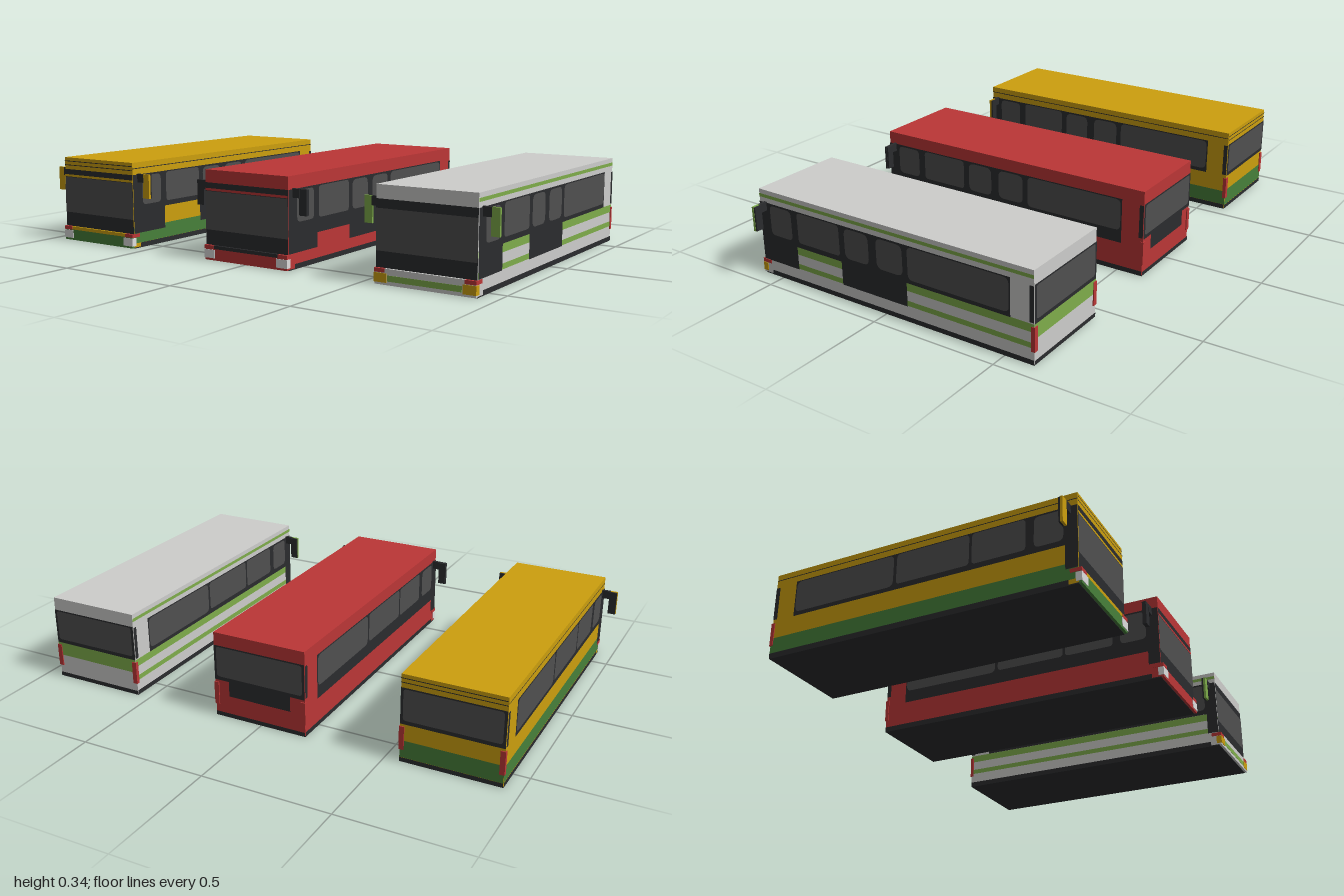
import * as THREE from 'three';

const material = (name, color) => new THREE.MeshStandardMaterial({ name, color });

export function createModel() {
  const M = {
    yellow: material('golden yellow', 0xcc9f0e),
    red: material('red', 0xbb3636),
    white: material('off white', 0xcdcdcb),
    green: material('light green', 0x7fad4b),
    darkGreen: material('dark green', 0x47803a),
    black: material('black trim', 0x2b2c2e),
    glass: material('tinted glass', 0x4f4f4f),
    lamp: material('lamp white', 0xdedede),
  };
  const HW = 0.19, FRONT = 0.595, BACK = -0.605, TOP = 0.34;

  const box = (g, name, mat, x0, x1, y0, y1, z0, z1) => {
    const m = new THREE.Mesh(new THREE.BoxGeometry(Math.abs(x1 - x0), y1 - y0, z1 - z0), mat);
    m.position.set((x0 + x1) / 2, (y0 + y1) / 2, (z0 + z1) / 2);
    m.name = name;
    g.add(m);
  };

  // flat panel on a body face; u runs along z on the sides and x on the ends
  const plate = (g, face, name, mat, u0, u1, y0, y1, layer = 1, r = 0) => {
    const a = Math.abs(u1 - u0) / 2, b = (y1 - y0) / 2, s = new THREE.Shape();
    s.moveTo(-a + r, -b);
    s.lineTo(a - r, -b);
    if (r) s.quadraticCurveTo(a, -b, a, -b + r);
    s.lineTo(a, b - r);
    if (r) s.quadraticCurveTo(a, b, a - r, b);
    s.lineTo(-a + r, b);
    if (r) s.quadraticCurveTo(-a, b, -a, b - r);
    s.lineTo(-a, -b + r);
    if (r) s.quadraticCurveTo(-a, -b, -a + r, -b);
    const m = new THREE.Mesh(new THREE.ShapeGeometry(s, 4), mat);
    const u = (u0 + u1) / 2, y = (y0 + y1) / 2, d = layer * 0.001;
    if (face === 'left') { m.rotation.y = Math.PI / 2; m.position.set(HW + d, y, u); }
    if (face === 'right') { m.rotation.y = -Math.PI / 2; m.position.set(-HW - d, y, u); }
    if (face === 'front') m.position.set(u, y, FRONT + d);
    if (face === 'back') { m.rotation.y = Math.PI; m.position.set(u, y, BACK - d); }
    m.name = name;
    g.add(m);
  };

  function createBus(o) {
    const g = new THREE.Group();
    g.name = o.name;
    box(g, 'body', o.body, -HW, HW, 0.004, TOP, BACK, FRONT);
    box(g, 'underside', M.black, -HW, HW, 0, 0.004, BACK, FRONT);
    box(g, 'frontBumper', o.bumper, -HW, HW, 0.002, 0.045, FRONT, 0.605);
    box(g, 'bumperTop', o.bumperTop, -HW + 0.04, HW - 0.04, 0.045, 0.058, FRONT, 0.605);

    // sides
    for (const f of ['left', 'right']) {
      for (const [mat, y0, y1] of o.stripes) plate(g, f, 'sideStripe', mat, BACK, FRONT, y0, y1, 1);
      plate(g, f, 'skirt', M.black, BACK, 0.56, 0.002, 0.02, 2);
      plate(g, f, 'windowBand', M.black, -0.515, FRONT, o.bandLow, 0.292, 2);
      plate(g, f, 'rearCornerTrim', M.black, BACK, -0.588, 0.155, 0.285, 2);
      plate(g, f, 'rearWindow', M.glass, -0.51, -0.097, 0.165, 0.288, 3, 0.022);
      plate(g, f, 'middleWindow', M.glass, 0.21, 0.41, 0.17, 0.288, 3, 0.015);
      plate(g, f, 'frontWindow', M.glass, 0.44, 0.545, 0.17, 0.285, 3, 0.02);
      if (f === 'left') {
        plate(g, f, 'frontDoor', M.black, 0.42, FRONT, 0.06, 0.292, 2.5);
        plate(g, f, 'middleDoor', M.black, -0.09, 0.205, 0.06, 0.292, 2.5);
        plate(g, f, 'doorWindow', M.glass, 0.075, 0.185, 0.17, 0.285, 3, 0.025);
        plate(g, f, 'doorWindow', M.glass, -0.075, 0.04, 0.17, 0.285, 3, 0.025);
      } else {
        plate(g, f, 'centreWindow', M.glass, -0.085, 0.2, 0.17, 0.288, 3, 0.015);
        plate(g, f, 'cabPanel', M.black, 0.55, FRONT, 0.06, 0.292, 2.5);
      }
    }

    // front
    plate(g, 'front', 'frontPanel', M.black, -HW, HW, 0.056, 0.292, 1);
    plate(g, 'front', 'windshield', M.glass, -HW, HW, 0.115, 0.26, 2);
    if (o.visor) plate(g, 'front', 'visorStripe', o.visor, -HW, HW, 0.262, 0.271, 2);
    for (const y of o.lines) {
      for (const f of ['front', 'back']) plate(g, f, 'roofLine', M.black, -HW, HW, y, y + 0.003, 2);
    }
    if (o.bumperStripe) {
      box(g, 'bumperStripe', o.bumperStripe, -0.14, 0.14, 0.015, 0.036, 0.6, 0.606);
    }

    // rear
    for (const [mat, y0, y1] of o.rear) plate(g, 'back', 'rearStripe', mat, -HW, HW, y0, y1, 1);
    plate(g, 'back', 'rearSkirt', M.black, -HW, HW, 0.002, 0.018, 2);
    plate(g, 'back', 'rearPanel', M.black, -HW, HW, 0.15, 0.29, 2);
    plate(g, 'back', 'rearGlass', M.glass, -0.18, 0.18, 0.165, 0.285, 3, 0.012);
    if (o.rearNotch) plate(g, 'back', 'engineCover', M.black, -0.13, 0.13, 0.09, 0.15, 2);

    // lamps and mirrors, mirrored left and right
    for (const s of [-1, 1]) {
      const e = s * (HW + 0.002);
      box(g, 'headlight', o.headlight, s * 0.143, e, 0.01, 0.042, 0.585, 0.607);
      box(g, 'markerLight', M.red, s * 0.15, e, 0.044, 0.058, 0.565, 0.606);
      box(g, 'tailLight', M.red, s * 0.174, s * (HW + 0.003), 0.05, 0.14, -0.609, -0.595);
      box(g, 'mirrorArm', M.black, s * HW, s * 0.224, 0.262, 0.295, 0.56, 0.572);
      box(g, 'mirrorHead', o.mirror, s * 0.221, s * 0.253, 0.2, 0.295, 0.562, 0.571);
      box(g, 'mirrorBack', M.black, s * 0.222, s * 0.252, 0.201, 0.294, 0.555, 0.562);
    }
    g.position.set(o.x, 0, o.z);
    return g;
  }

  const root = new THREE.Group();
  root.name = 'threeBuses';
  root.add(
    createBus({
      name: 'yellowBus', x: -0.747, z: 0.005, body: M.yellow, bumper: M.darkGreen, bumperTop: M.yellow,
      stripes: [[M.darkGreen, 0.02, 0.08], [M.black, 0.315, 0.318]], bandLow: 0.15,
      rear: [[M.darkGreen, 0.018, 0.085]], lines: [0.308, 0.324],
      visor: M.yellow, headlight: M.lamp, mirror: M.yellow,
    }),
    createBus({
      name: 'redBus', x: 0.004, z: 0, body: M.red, bumper: M.red, bumperTop: M.black,
      stripes: [], bandLow: 0.115, rear: [], rearNotch: true, lines: [],
      visor: M.red, headlight: M.lamp, mirror: M.black,
    }),
    createBus({
      name: 'whiteBus', x: 0.744, z: -0.01, body: M.white, bumper: M.white, bumperTop: M.white,
      stripes: [[M.green, 0.062, 0.082], [M.green, 0.12, 0.15], [M.green, 0.31, 0.323]], bandLow: 0.15,
      rear: [[M.green, 0.095, 0.15]], lines: [], bumperStripe: M.green,
      headlight: M.yellow, mirror: M.green,
    }),
  );
  return root;
}
